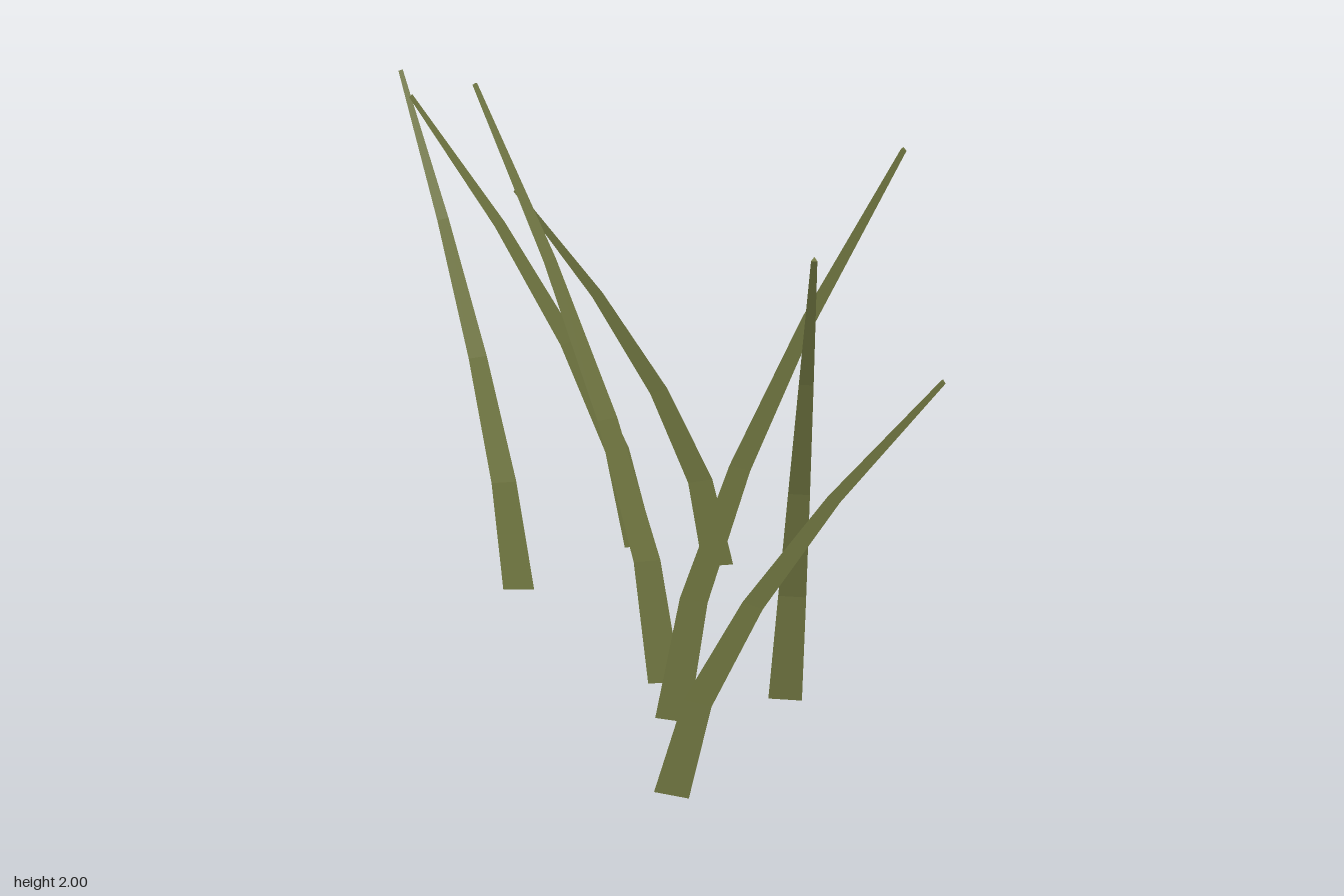
import * as THREE from 'three';

const SEGMENTS = 4;
const BASE_RADIUS = 0.059;
const TIP_RADIUS = 0.008;
const UP = new THREE.Vector3(0, 1, 0);

// root x, root z, tip x, tip y, tip z
const BLADES = [
  [-0.41, -0.25, -0.77, 1.62, -0.715],
  [-0.036, -0.5, -0.733, 1.565, -0.662],
  [0.231, -0.43, -0.375, 1.462, -0.318],
  [0.097, 0.125, -0.445, 1.862, -0.172],
  [0.468, 0.156, 0.45, 1.925, 0.717],
  [0.131, 0.275, 0.648, 1.998, 0.334],
  [0.151, 0.565, 0.771, 1.545, 0.615],
];

// Three-sided tapered stalk, bent more strongly towards its tip
function bladeGeometry([x0, z0, x1, y1, z1]) {
  const y0 = 0.014;
  const pointAt = (t) => {
    const bend = Math.pow(t, 1.6);
    return new THREE.Vector3(x0 + (x1 - x0) * bend, y0 + (y1 - y0) * t, z0 + (z1 - z0) * bend);
  };
  const geometry = new THREE.CylinderGeometry(TIP_RADIUS, BASE_RADIUS, 1, 3, SEGMENTS, false, Math.PI);
  const pos = geometry.attributes.position;
  const v = new THREE.Vector3();
  const turn = new THREE.Quaternion();
  const step = 1 / SEGMENTS;
  for (let i = 0; i < pos.count; i++) {
    v.fromBufferAttribute(pos, i);
    const t = v.y + 0.5;
    // Each ring stands square to the path
    const tangent = pointAt(Math.min(1, t + step)).sub(pointAt(Math.max(0, t - step))).normalize();
    turn.setFromUnitVectors(UP, tangent);
    v.y = 0;
    v.applyQuaternion(turn).add(pointAt(t));
    pos.setXYZ(i, v.x, v.y, v.z);
  }
  geometry.computeVertexNormals();
  return geometry;
}

export function createModel() {
  const group = new THREE.Group();
  group.name = 'grassTuft';
  const olive = new THREE.MeshStandardMaterial({ color: 0x6f7540, flatShading: true });
  olive.name = 'olive green';
  BLADES.forEach((blade, i) => {
    const mesh = new THREE.Mesh(bladeGeometry(blade), olive);
    mesh.name = `grassBlade${i + 1}`;
    group.add(mesh);
  });
  return group;
}
